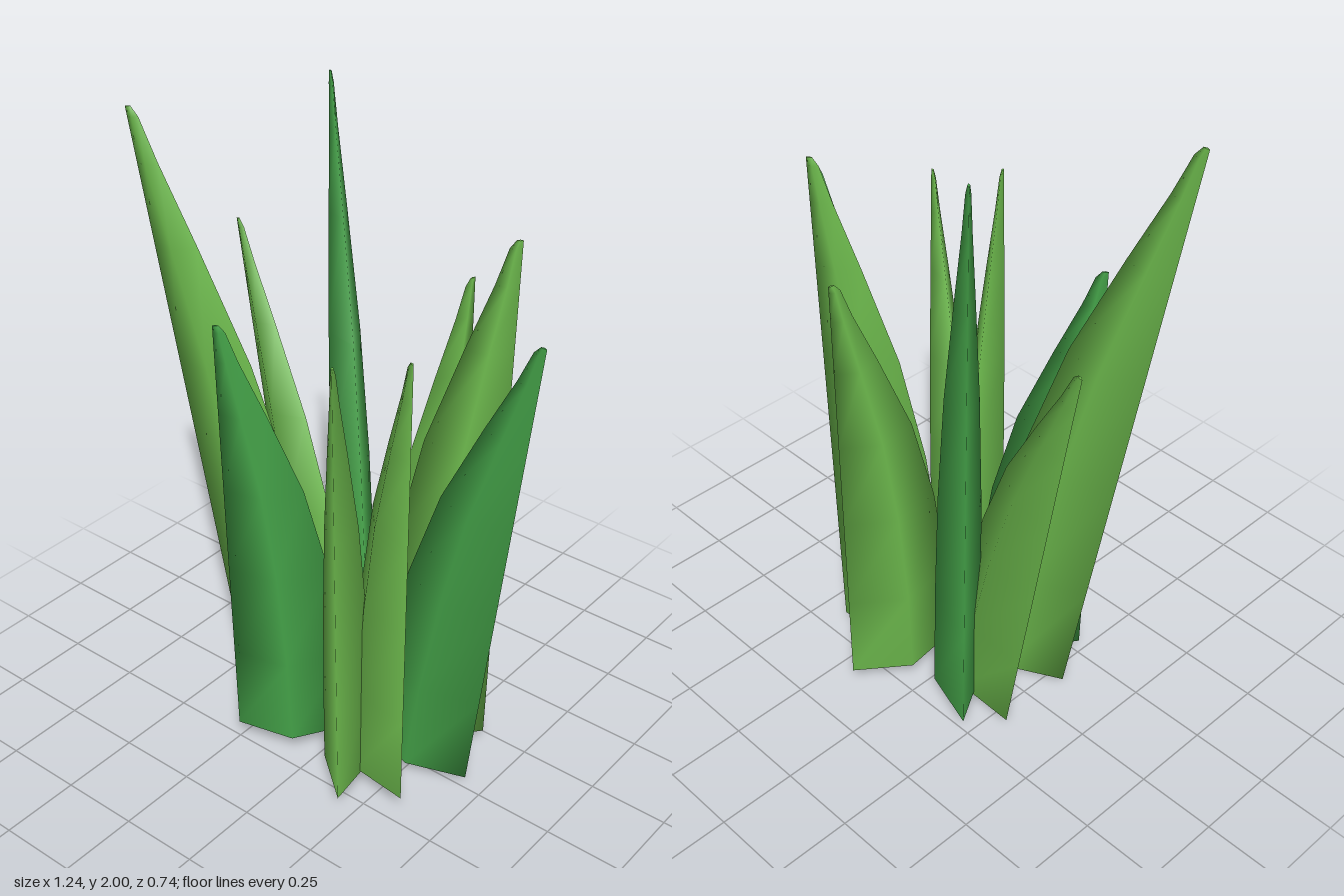
import * as THREE from 'three';

const LIGHT = new THREE.MeshStandardMaterial({ color: 0x6cb84c });
const DARK = new THREE.MeshStandardMaterial({ color: 0x43a047 });

const WIDTH = 0.35;      // radial width at the foot
const HALF_THICK = 0.072; // half thickness across the blade

// Taper: [fraction of height, fraction of full width]
const TAPER = [[0, 1], [0.2, 0.97], [0.42, 0.86], [0.62, 0.67], [0.8, 0.39], [0.92, 0.19], [0.985, 0.1], [1, 0.05]];

// Blade with a diamond section: straight outer edge, inner edge curving out to meet it at the tip
function bladeGeometry([ix, iz], [tx, ty, tz]) {
  const angle = Math.atan2(tz - iz, tx - ix);
  const out = new THREE.Vector3(Math.cos(angle), 0, Math.sin(angle));
  const side = new THREE.Vector3(-out.z, 0, out.x);
  const tip = new THREE.Vector3(tx, ty, tz);
  const foot = new THREE.Vector3(ix, 0, iz).addScaledVector(out, WIDTH);
  const slope = Math.hypot(tx - foot.x, tz - foot.z) / ty;
  foot.y = Math.max(0, 0.06 - WIDTH * slope);
  const inward = out.clone().negate().setY(slope); // sections tilt with the lean

  const positions = [];
  const addRing = ([t, w]) => {
    const outer = foot.clone().lerp(tip, t);
    for (const [u, v] of [[0, 0], [0.5, 1], [1, 0], [0.5, -1]]) {
      const p = outer.clone()
        .addScaledVector(inward, u * w * WIDTH)
        .addScaledVector(side, v * w * HALF_THICK);
      positions.push(p.x, p.y, p.z);
    }
  };
  TAPER.forEach(addRing);
  addRing(TAPER[0]);                // separate rings keep the cap edges sharp
  addRing(TAPER[TAPER.length - 1]);

  const index = [];
  for (let r = 0; r < TAPER.length - 1; r++) {
    for (let j = 0; j < 4; j++) {
      const a = r * 4 + j, b = r * 4 + (j + 1) % 4;
      index.push(a, a + 4, b, b, a + 4, b + 4);
    }
  }
  const c = TAPER.length * 4, d = c + 4;
  index.push(c, c + 1, c + 2, c, c + 2, c + 3, d, d + 2, d + 1, d, d + 3, d + 2);

  const geometry = new THREE.BufferGeometry();
  geometry.setAttribute('position', new THREE.Float32BufferAttribute(positions, 3));
  geometry.setIndex(index);
  geometry.computeVertexNormals();
  return geometry;
}

export function createModel() {
  const group = new THREE.Group();
  group.name = 'grassTuft';

  // Name, inner foot (x, z), tip (x, y, z), material
  const blades = [
    ['leftBlade', [0.085, 0], [0.615, 1.56, -0.03], DARK],
    ['frontLeftBlade', [0.05, 0.045], [0.38, 1.54, 0.22], LIGHT],
    ['frontBlade', [0.035, 0.015], [0.235, 1.54, 0.37], LIGHT],
    ['frontRightBlade', [0.035, 0.05], [-0.275, 1.46, 0.265], DARK],
    ['rightFrontBlade', [0.04, 0.04], [-0.62, 1.99, 0.205], LIGHT],
    ['rightBackBlade', [0.04, -0.03], [-0.62, 1.52, -0.22], LIGHT],
    ['backRightBlade', [0.05, -0.03], [-0.36, 2, -0.35], DARK],
    ['backBlade', [0.06, -0.025], [0.155, 1.5, -0.37], LIGHT],
    ['backLeftBlade', [0.07, -0.025], [0.405, 1.735, -0.22], LIGHT],
  ];
  for (const [name, inner, tip, material] of blades) {
    const blade = new THREE.Mesh(bladeGeometry(inner, tip), material);
    blade.name = name;
    group.add(blade);
  }
  return group;
}
